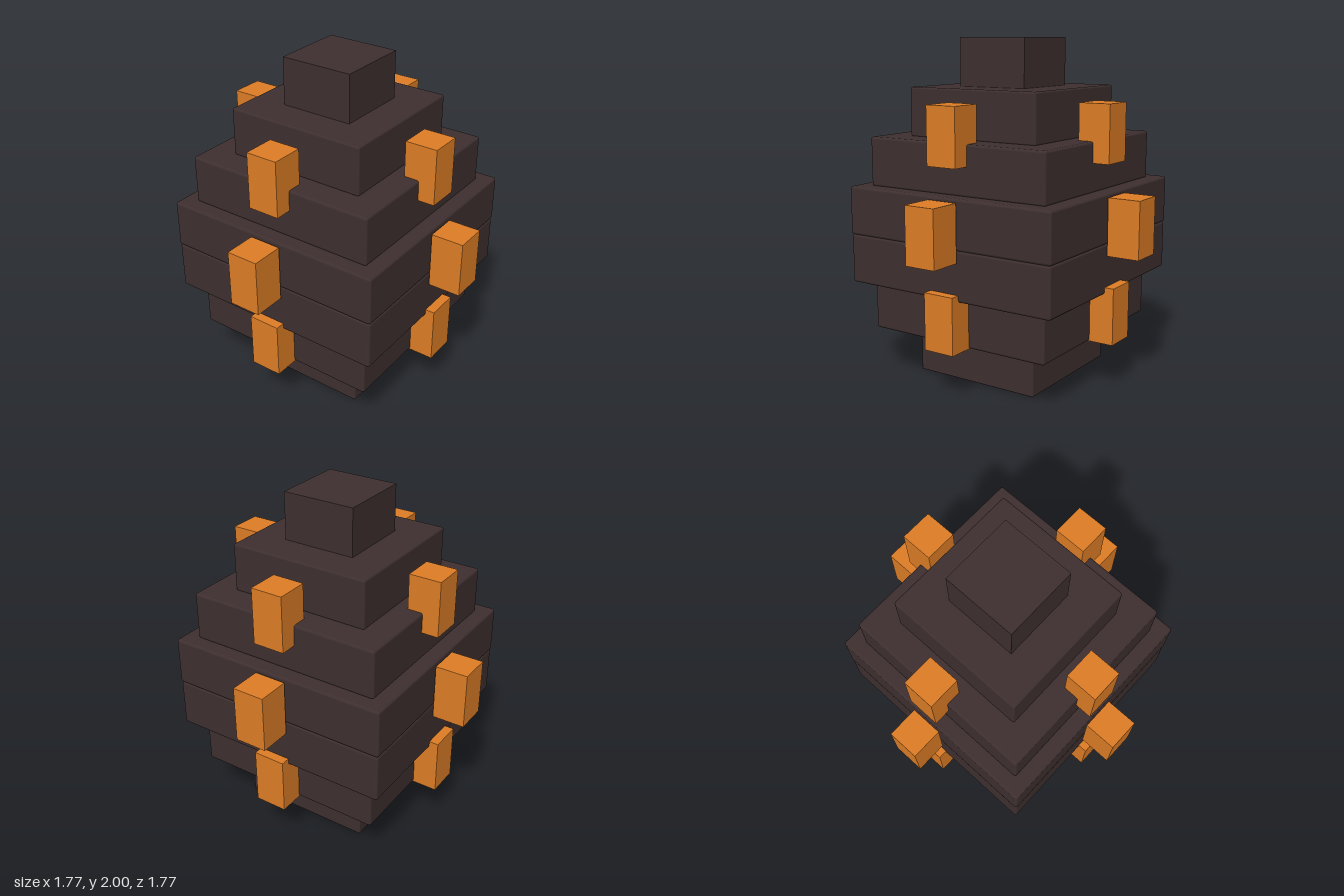
import * as THREE from 'three';
import { RoundedBoxGeometry } from 'three/addons/geometries/RoundedBoxGeometry.js';

export function createModel() {
  const model = new THREE.Group();
  model.name = 'steppedEgg';
  const shell = new THREE.MeshStandardMaterial({ color: 0x3e2f2f });
  const orange = new THREE.MeshStandardMaterial({ color: 0xdd7d25 });

  // Stacked square tiers, bottom to top: [name, width, bottom, top, edge radius]
  const tiers = [
    ['baseTier', 0.805, 0, 0.29, 0.008],
    ['lowerTier', 1.18, 0.285, 0.575, 0.015],
    ['lowerBellyTier', 1.365, 0.575, 0.865, 0.015],
    ['upperBellyTier', 1.37, 0.863, 1.15, 0.015],
    ['shoulderTier', 1.19, 1.145, 1.435, 0.015],
    ['neckTier', 0.86, 1.43, 1.718, 0.012],
    ['topTier', 0.445, 1.715, 2, 0],
  ];
  for (const [name, width, y0, y1, radius] of tiers) {
    const h = y1 - y0;
    const geometry = radius
      ? new RoundedBoxGeometry(width, h, width, 2, radius)
      : new THREE.BoxGeometry(width, h, width);
    const tier = new THREE.Mesh(geometry, shell);
    tier.name = name;
    tier.position.y = (y0 + y1) / 2;
    model.add(tier);
  }

  // Three rings of four upright blocks: [name, distance from axis, centre height]
  const rings = [
    ['lowerBlocks', 0.642, 0.45],
    ['middleBlocks', 0.791, 0.965],
    ['upperBlocks', 0.599, 1.48],
  ];
  const blockGeometry = new THREE.BoxGeometry(0.193, 0.332, 0.193);
  for (const [name, distance, y] of rings) {
    const ring = new THREE.Group();
    ring.name = name;
    for (let i = 0; i < 4; i++) {
      const angle = (i * Math.PI) / 2;
      const block = new THREE.Mesh(blockGeometry, orange);
      block.name = 'block';
      block.position.set(Math.sin(angle) * distance, y, Math.cos(angle) * distance);
      block.rotation.y = angle;
      ring.add(block);
    }
    model.add(ring);
  }
  return model;
}
